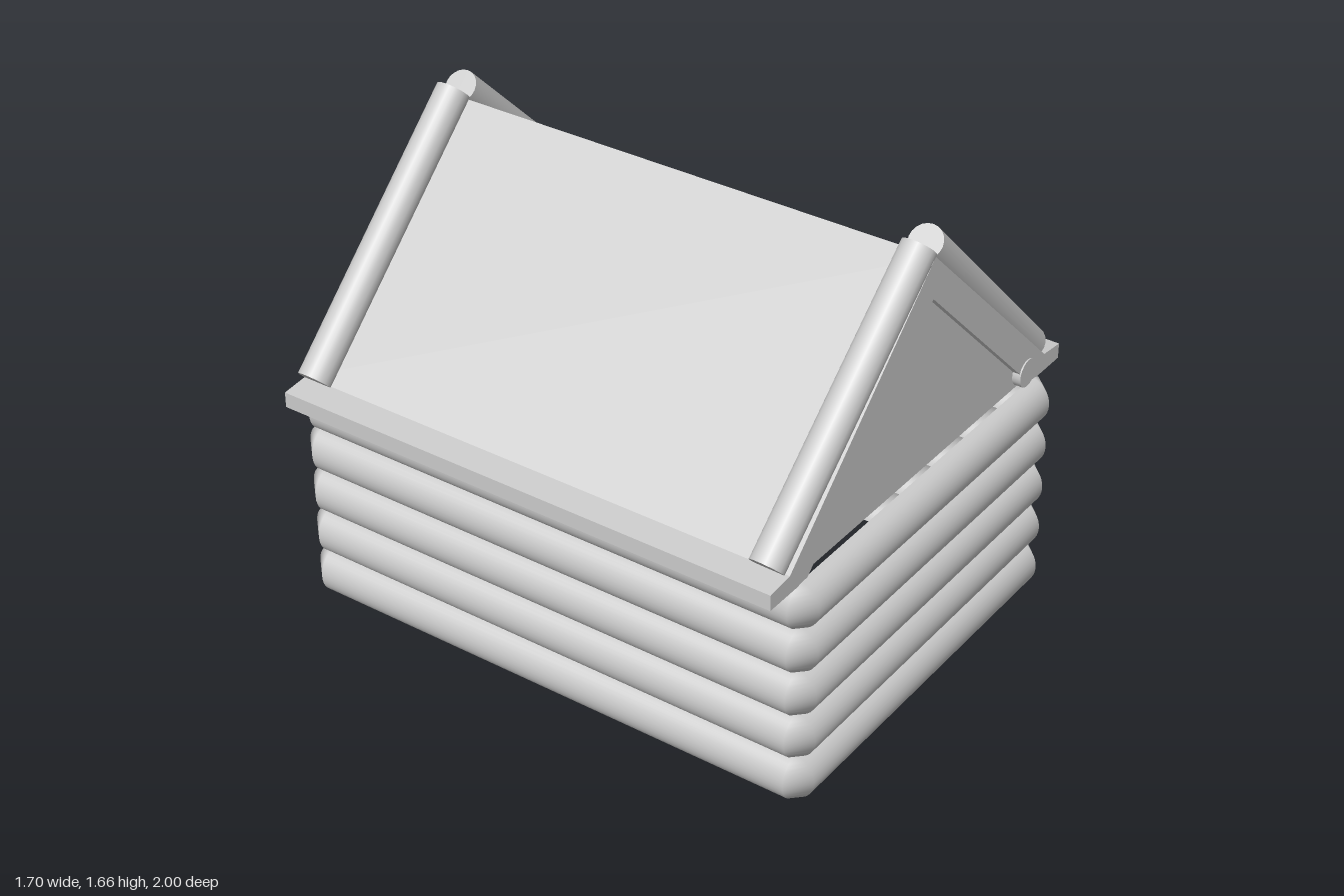
import * as THREE from 'three';

const W = 0.685, D = 0.93;        // base planes of the walls
const H = 0.163, BULGE = 0.07;    // log height and how far it swells outwards

const mat = new THREE.MeshStandardMaterial({ color: 0xcccccc, side: THREE.DoubleSide });

function add(group, name, geometry) {
  const mesh = new THREE.Mesh(geometry, mat);
  mesh.name = name;
  group.add(mesh);
  return mesh;
}

// One half-round log course running round the house, open at the back by 2 * gap
function courseGeometry(yc, gap) {
  const path = [ // base x, base z, outward x, outward z
    [-gap, -D, 0, -1], [-W, -D, 0, -1], [-W, -D, -1, 0], [-W, D, -1, 0], [-W, D, 0, 1], [0, D, 0, 1],
    [W, D, 0, 1], [W, D, 1, 0], [W, -D, 1, 0], [W, -D, 0, -1], [gap, -D, 0, -1],
  ];
  const steps = 16, pos = [], index = [];
  path.forEach(([x, z, dx, dz], i) => {
    for (let j = 0; j <= steps; j++) {
      const a = (j / steps - 0.5) * Math.PI;
      const d = BULGE * Math.cos(a);
      pos.push(x + dx * d, yc + H / 2 * Math.sin(a), z + dz * d);
      if (i < path.length - 1 && j < steps) {
        const p = i * (steps + 1) + j, q = p + steps + 1;
        index.push(p, q, q + 1, p, q + 1, p + 1);
      }
    }
  });
  const g = new THREE.BufferGeometry();
  g.setAttribute('position', new THREE.Float32BufferAttribute(pos, 3));
  g.setIndex(index);
  g.computeVertexNormals();
  return g;
}

// Round beam between two points
function beam(group, name, a, b, radius) {
  const dir = b.clone().sub(a);
  const mesh = add(group, name, new THREE.CylinderGeometry(radius, radius, dir.length(), 20));
  mesh.position.copy(a).add(b).multiplyScalar(0.5);
  mesh.quaternion.setFromUnitVectors(new THREE.Vector3(0, 1, 0), dir.normalize());
}

export function createModel() {
  const house = new THREE.Group();
  house.name = 'logCabin';

  // Log walls: four courses broken by the doorway, one unbroken on top
  const walls = new THREE.Group();
  walls.name = 'logWalls';
  house.add(walls);
  const gap = 0.22;
  for (let i = 0; i < 5; i++) {
    const yc = H * (i + 0.5);
    add(walls, 'logCourse', courseGeometry(yc, i < 4 ? gap : 0));
    if (i === 4) continue;
    // Half-round log ends beside the door
    for (const s of [-1, 1]) {
      const end = add(walls, 'logEnd', new THREE.CircleGeometry(1, 16, -Math.PI / 2, Math.PI));
      end.scale.set(BULGE, H / 2, 1);
      end.rotation.y = Math.PI / 2;
      end.position.set(s * gap, yc, -D);
    }
  }

  // Recessed door panel
  const door = add(house, 'door', new THREE.PlaneGeometry(gap * 2, H * 4));
  door.rotation.y = Math.PI;
  door.position.set(0, H * 2, -D);

  // Roof slab with flat eaves, one section extruded along z
  const half = [[0.66, 0.81], [0.85, 0.81], [0.85, 0.865], [0.75, 0.875]];
  const section = [
    ...half, [0, 1.59],
    ...half.map(([x, y]) => [-x, y]).reverse(), [0, 1.445],
  ].map(([x, y]) => new THREE.Vector2(x, y));
  const roof = add(house, 'roof',
    new THREE.ExtrudeGeometry(new THREE.Shape(section), { depth: 1.87, bevelEnabled: false }));
  roof.position.z = -0.935;

  // Gable walls, set slightly back under the roof ends
  const triangle = new THREE.Shape([[-0.67, 0.81], [0.67, 0.81], [0, 1.46]].map(p => new THREE.Vector2(...p)));
  for (const s of [-1, 1]) {
    const gable = add(house, s > 0 ? 'frontGable' : 'backGable', new THREE.ShapeGeometry(triangle));
    gable.position.z = s * 0.91;
    if (s < 0) gable.rotation.y = Math.PI;
  }

  // Round verge beams on the roof ends, crossing at the ridge; the front pair leans out at the top
  for (const [name, zTop, zLow] of [['frontVergeBeam', 0.887, 0.865], ['backVergeBeam', -0.88, -0.88]]) {
    for (const s of [-1, 1]) {
      beam(house, name,
        new THREE.Vector3(s * 0.768, 0.888, zLow), new THREE.Vector3(s * 0.018, 1.618, zTop), 0.058);
    }
  }

  // Small round peg at the foot of the front gable
  beam(house, 'gablePeg', new THREE.Vector3(0.635, 0.862, 0.88), new THREE.Vector3(0.635, 0.862, 0.94), 0.05);

  return house;
}
